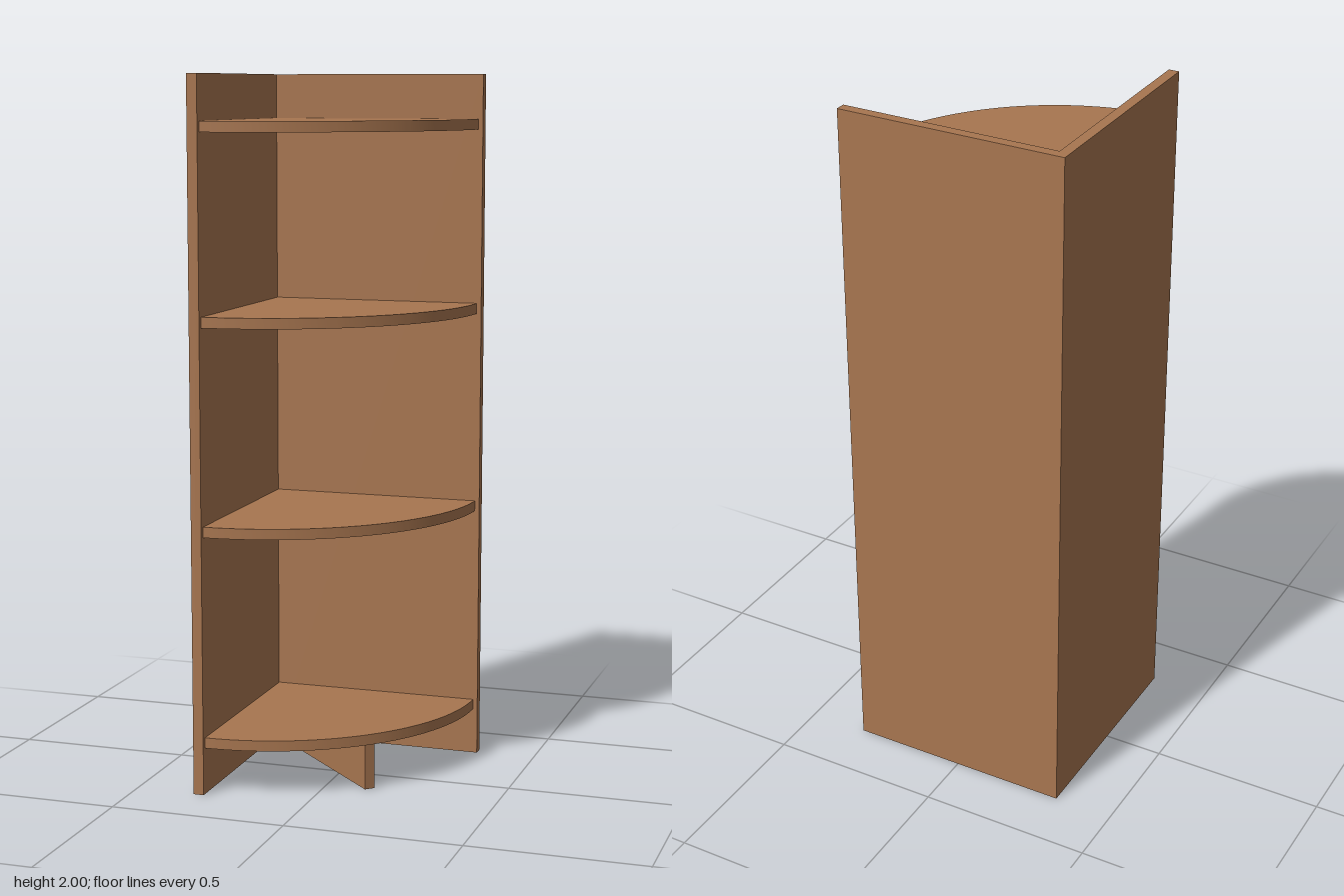
import * as THREE from 'three';
import { toCreasedNormals } from 'three/addons/utils/BufferGeometryUtils.js';

export function createModel() {
  const group = new THREE.Group();
  group.name = 'cornerShelf';
  const wood = new THREE.MeshStandardMaterial({ color: 0xa87650 });
  wood.name = 'warm brown wood';

  const add = (name, geometry, x, y, z) => {
    const mesh = new THREE.Mesh(geometry, wood);
    mesh.name = name;
    mesh.position.set(x, y, z);
    group.add(mesh);
    return mesh;
  };

  const half = 0.328, board = 0.03, inner = -half + board;

  // Two upright panels meeting at the back corner
  add('sidePanel', new THREE.BoxGeometry(board, 2, 2 * half), -half + board / 2, 1, 0);
  add('backPanel', new THREE.BoxGeometry(2 * half - board, 2, board), board / 2, 1, -half + board / 2);

  // Quarter-round shelves
  const radius = 0.612, shelfThickness = 0.03;
  const quarter = new THREE.Shape();
  quarter.moveTo(0, 0);
  quarter.lineTo(radius, 0);
  quarter.absarc(0, 0, radius, 0, Math.PI / 2, false);
  quarter.lineTo(0, 0);
  const extruded = new THREE.ExtrudeGeometry(quarter, {
    depth: shelfThickness, bevelEnabled: false, curveSegments: 40,
  });
  extruded.rotateX(Math.PI / 2); // lies flat, top face at y = 0
  const shelfGeometry = toCreasedNormals(extruded, 0.5);
  [0.163, 0.764, 1.345, 1.873].forEach((top, i) => {
    add(`shelf${i + 1}`, shelfGeometry, inner + 0.001, top, inner + 0.001);
  });

  // Diagonal foot under the lowest shelf, running out from the corner
  const start = -0.287, end = 0.127, mid = (start + end) / 2;
  const foot = add('diagonalFoot',
    new THREE.BoxGeometry((end - start) * Math.SQRT2, 0.133, board), mid, 0.0665, mid);
  foot.rotation.y = -Math.PI / 4;

  return group;
}
